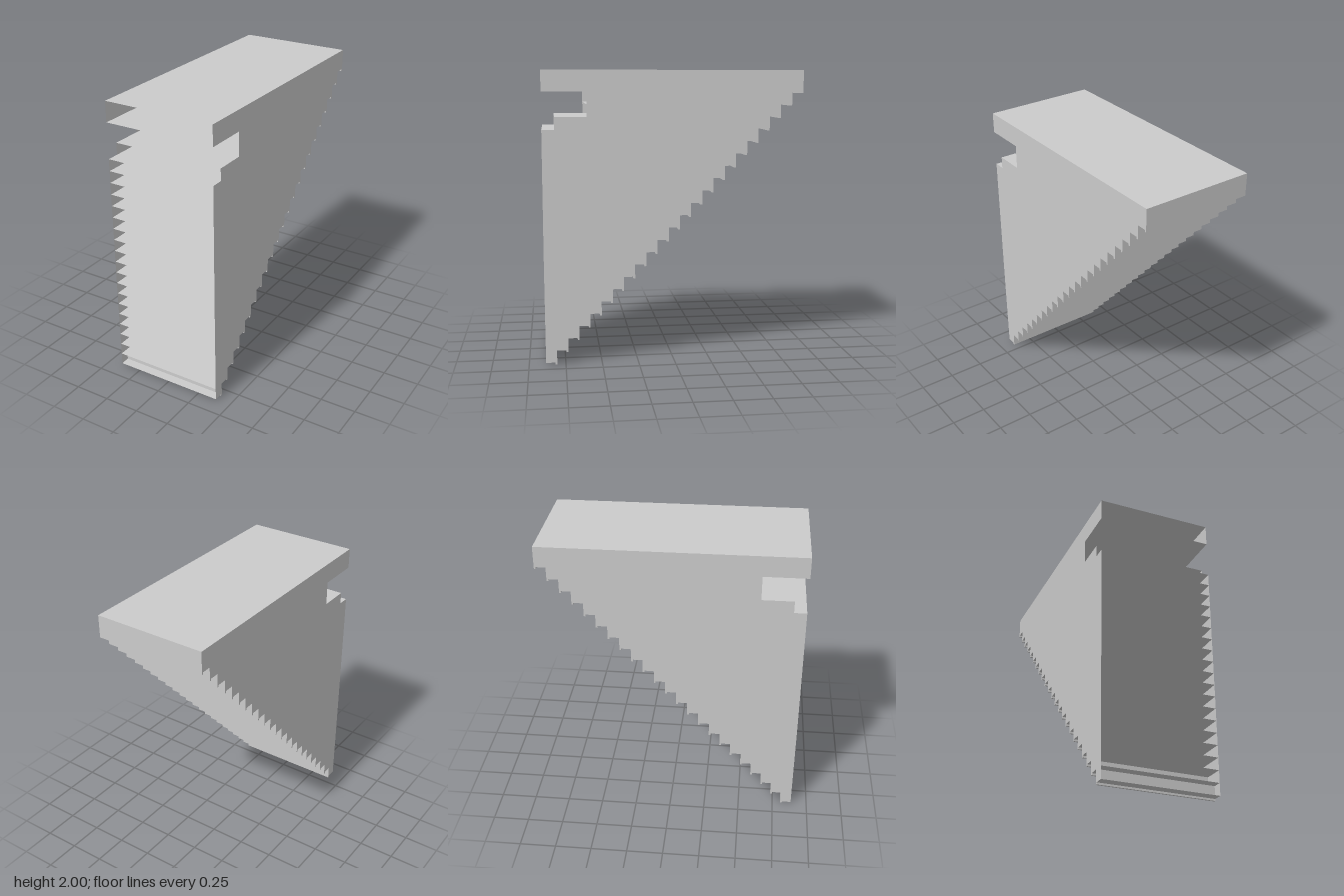
import * as THREE from 'three';

const STEPS = 22, HALF_W = 0.397, TOP = 2;
const FRONT = 0.888, SLOT_BACK = 0.588, NOTCH_FRONT = 0.803;
const LIP = 0.013, THICK = 0.012;
const level = k => 0.0838 * k + LIP;      // underside height of step k
const back = k => 0.809 - 0.0771 * k;     // rear face of step k

// Front edge of the sheet at the underside of step k
function frontEdge(k) {
  if (k === STEPS - 1) return SLOT_BACK;
  if (k === STEPS - 2) return NOTCH_FRONT;
  return k < 8 ? FRONT - 0.003 : FRONT;
}

export function createModel() {
  const model = new THREE.Group();
  const material = new THREE.MeshStandardMaterial({ color: 0xcccccc, side: THREE.DoubleSide, flatShading: true });

  function add(name, geometry, x, y, z) {
    const mesh = new THREE.Mesh(geometry, material);
    mesh.name = name;
    mesh.position.set(x, y, z);
    model.add(mesh);
  }

  // Thin horizontal sheet across the full width
  function sheet(name, y, z0, z1) {
    add(name, new THREE.PlaneGeometry(HALF_W * 2, z0 - z1).rotateX(-Math.PI / 2), 0, y, (z0 + z1) / 2);
  }

  // Stepped side panels, outlined in z and y, with the slot near the top
  const outline = new THREE.Shape();
  outline.moveTo(FRONT - 0.003, level(0));
  for (let k = 0; k <= STEPS; k++) {
    outline.lineTo(back(k), level(k));
    outline.lineTo(back(k), k < STEPS ? level(k + 1) : TOP);
  }
  [
    [FRONT, TOP], [FRONT, level(STEPS)],
    [SLOT_BACK, level(STEPS)], [SLOT_BACK, level(STEPS - 2)],
    [NOTCH_FRONT, level(STEPS - 2)], [NOTCH_FRONT, level(STEPS - 3)],
    [FRONT, level(STEPS - 3)], [FRONT, level(8)],
  ].forEach(([z, y]) => outline.lineTo(z, y));
  for (const side of [1, -1]) {
    const panel = new THREE.ShapeGeometry(outline).rotateY(-Math.PI / 2);
    add(side > 0 ? 'leftSidePanel' : 'rightSidePanel', panel, side * HALF_W, 0, 0);
  }

  // Open-fronted shelves and the rear risers with their hanging lips
  for (let k = 0; k <= STEPS; k++) {
    sheet('shelf', level(k), frontEdge(k), back(k));
    const y0 = level(k) - LIP;
    const y1 = k < STEPS ? level(k + 1) : TOP;
    add('riser', new THREE.BoxGeometry(HALF_W * 2, y1 - y0, THICK), 0, (y0 + y1) / 2, back(k) + THICK / 2);
  }

  // Top landing
  sheet('topLanding', TOP, FRONT, back(STEPS) + THICK);
  return model;
}
